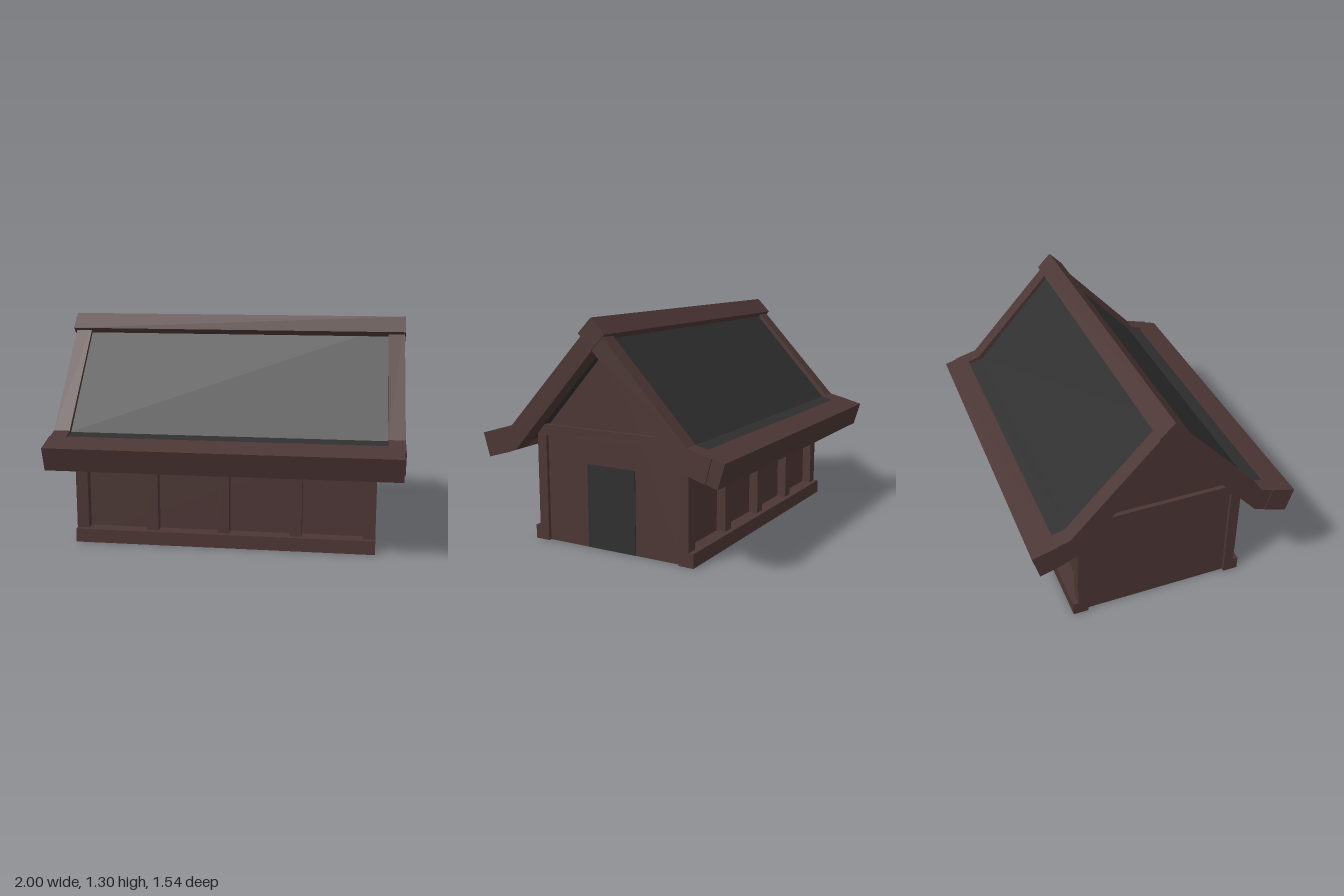
import * as THREE from 'three';

const wood = new THREE.MeshStandardMaterial({ color: 0x4b3634 });
wood.name = 'dark brown wood';
const slate = new THREE.MeshStandardMaterial({ color: 0x2f2f2f });
slate.name = 'charcoal';

// Extrudes a [z, y] profile along x, from x0 to x1
function prism(name, points, x0, x1, material) {
  const shape = new THREE.Shape(points.map(([z, y]) => new THREE.Vector2(-z, y)));
  const geometry = new THREE.ExtrudeGeometry(shape, { depth: x1 - x0, bevelEnabled: false });
  geometry.rotateY(Math.PI / 2).translate(x0, 0, 0);
  const mesh = new THREE.Mesh(geometry, material);
  mesh.name = name;
  return mesh;
}

// Box given by its extents
function box(name, x0, x1, y0, y1, z0, z1, material) {
  const geometry = new THREE.BoxGeometry(x1 - x0, y1 - y0, z1 - z0);
  geometry.translate((x0 + x1) / 2, (y0 + y1) / 2, (z0 + z1) / 2);
  const mesh = new THREE.Mesh(geometry, material);
  mesh.name = name;
  return mesh;
}

const flip = (points) => points.map(([z, y]) => [-z, y]).reverse();

// Closed symmetric roof section from its upper and lower half lines (ridge to eave)
function roofSection(top, bottom) {
  const half = [...top, ...[...bottom].reverse()];
  const left = flip(half);
  return [...half, ...left.slice(1, -1)];
}

export function createModel() {
  const model = new THREE.Group();
  model.name = 'timberHouse';

  // Walls with gables
  model.add(prism('walls',
    [[0.435, 0], [0.435, 0.66], [0, 1.145], [-0.435, 0.66], [-0.435, 0]], -0.87, 0.83, wood));

  // Sill beams and wall posts on both long sides
  for (const side of [1, -1]) {
    const z = (a, b) => (side > 0 ? [a, b] : [-b, -a]);
    model.add(box('sillBeam', -0.89, 0.85, 0, 0.08, ...z(0.43, 0.52), wood));
    for (let i = 0; i < 5; i++) {
      const x = -0.89 + i * 0.4175;
      model.add(box('wallPost', x, x + 0.07, 0.08, 0.615, ...z(0.43, 0.49), wood));
    }
  }

  // Tie beams across the gable ends
  model.add(box('tieBeamLeft', 0.82, 0.855, 0.618, 0.678, -0.488, 0.488, wood));
  model.add(box('tieBeamRight', -0.895, -0.86, 0.618, 0.678, -0.488, 0.488, wood));

  // Door in the +x end
  model.add(box('door', 0.829, 0.836, 0.002, 0.477, -0.15, 0.16, slate));

  // Roof covering, set a little into its frame
  model.add(prism('roofCovering', roofSection(
    [[0, 1.245], [0.535, 0.665], [0.65, 0.635]],
    [[0, 1.16], [0.52, 0.585], [0.64, 0.555]]), -0.9, 0.91, slate));

  // Bargeboards at each end
  const board = roofSection(
    [[0, 1.275], [0.56, 0.677], [0.70, 0.64]],
    [[0, 1.13], [0.53, 0.548], [0.665, 0.505]]);
  model.add(prism('bargeboardLeft', board, 0.9, 0.995, wood));
  model.add(prism('bargeboardRight', board, -0.985, -0.893, wood));

  // Eave beams
  const eave = [[0.63, 0.659], [0.77, 0.621], [0.73, 0.485], [0.592, 0.526]];
  model.add(prism('eaveBeamFront', eave, -0.99, 0.985, wood));
  model.add(prism('eaveBeamBack', flip(eave), -0.99, 0.985, wood));

  // Ridge beam, a square timber turned on edge
  model.add(prism('ridgeBeam',
    [[0, 1.3], [0.083, 1.216], [0, 1.132], [-0.083, 1.216]], -1, 1, wood));

  return model;
}
